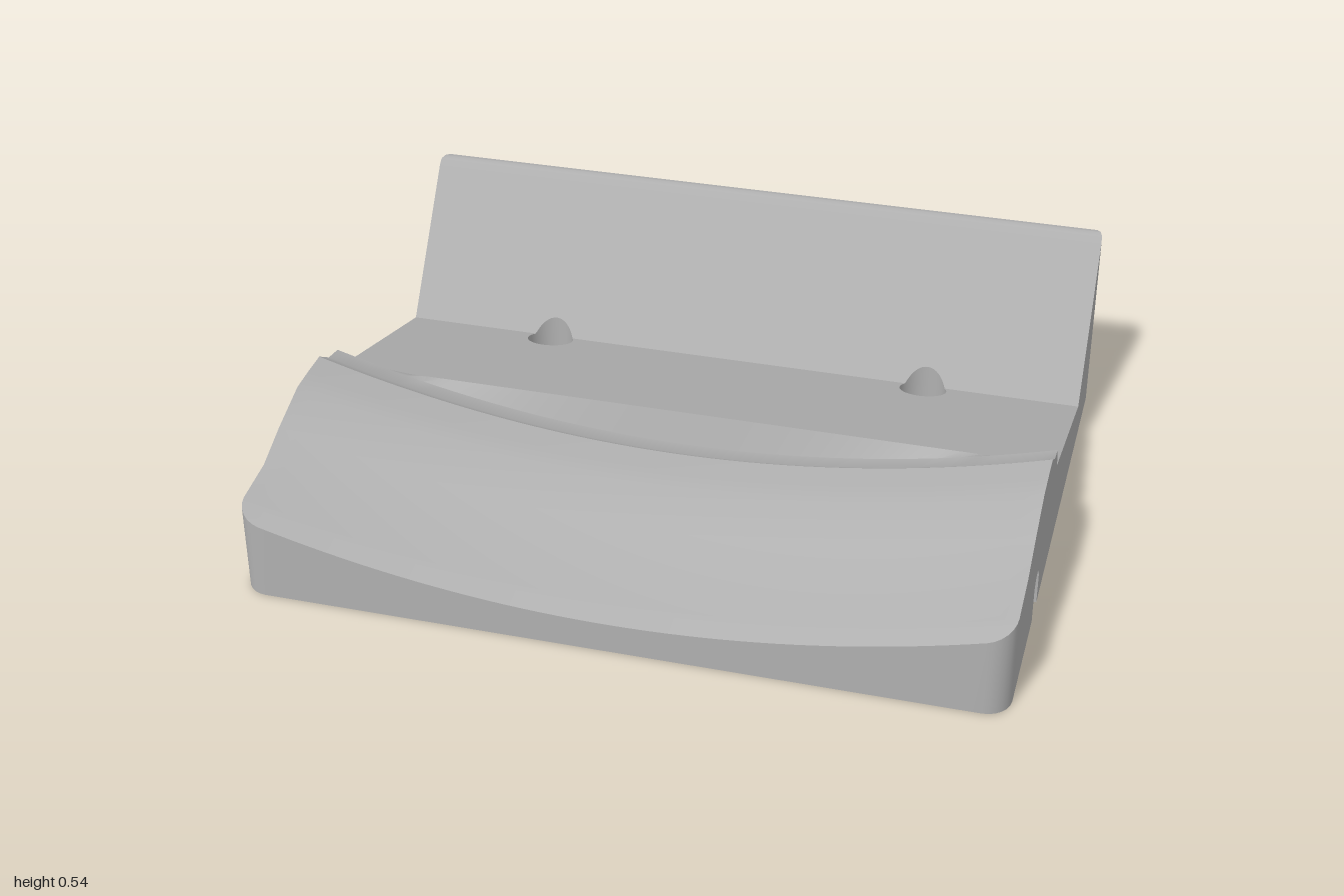
import * as THREE from 'three';
import { toCreasedNormals } from 'three/addons/utils/BufferGeometryUtils.js';

const D = 0.805, R = 0.065, FLAT = D - R;          // half depth, corner radius, straight side end
const LIP = 0.073, VALLEY = -0.47;                 // ramp top and valley lines (z)
const SCREW = { x: 0.56, z: -0.435, r: 0.067, sink: 0.12, depth: 0.06 };
const PIN = { z: 0.36, y: 0.083, r: 0.043, slot: 0.04 };

// side profile as [z, y], front to back
const PROFILE = [
  [D, 0.23], [FLAT, 0.25], [0.61, 0.27], [0.5, 0.32], [0.37, 0.368], [0.3, 0.374], [0.22, 0.378],
  [0.16, 0.342], [0.1, 0.333], [LIP, 0.27], [VALLEY, 0.13], [-FLAT, 0.515],
  [-0.752, 0.53], [-0.77, 0.535], [-0.785, 0.533], [-0.797, 0.525], [-D, 0.51],
];

// height of the upper surface; the front part sags in an arc across x
function height(x, z) {
  let i = 0;
  while (i < PROFILE.length - 2 && z < PROFILE[i + 1][0]) i++;
  const [z0, y0] = PROFILE[i], [z1, y1] = PROFILE[i + 1];
  const y = y0 + (y1 - y0) * (z - z0) / (z1 - z0);
  return y - 0.147 * (1 - x * x) * THREE.MathUtils.clamp((z - LIP) / 0.027, 0, 1);
}

// half width at z, narrowing around the corners
function halfWidth(z) {
  const t = Math.max(0, Math.abs(z) - FLAT);
  return 1 - R + Math.sqrt(Math.max(0, R * R - t * t));
}

// surface through rows of points
function loft(rows, crease = 0.45) {
  const n = rows[0].length, index = [];
  for (let i = 0; i < rows.length - 1; i++) {
    for (let j = 0; j < n - 1; j++) {
      const a = i * n + j, d = a + n;
      index.push(a, a + 1, d + 1, a, d + 1, d);
    }
  }
  const g = new THREE.BufferGeometry();
  g.setAttribute('position', new THREE.Float32BufferAttribute(rows.flat(2), 3));
  g.setIndex(index);
  return toCreasedNormals(g, crease);
}

const arc = (cx, cy, r, a0, a1, n = 24) => Array.from({ length: n + 1 }, (_, i) => {
  const a = a0 + (a1 - a0) * i / n;
  return new THREE.Vector2(cx + r * Math.cos(a), cy + r * Math.sin(a));
});
const circle = (cx, cy, r) => new THREE.Path(arc(cx, cy, r, 0, Math.PI * 2, 32).slice(0, -1));
const V = (x, y) => new THREE.Vector2(x, y);

const cornerSteps = Array.from({ length: 7 }, (_, i) => i / 6 * Math.PI / 2);
const COLS = 40;
const across = Array.from({ length: COLS + 1 }, (_, i) => -1 + 2 * i / COLS);

// plan outline of the rounded end, from x = -1 to x = 1
const endOutline = [
  ...cornerSteps.map(a => [-(1 - R) - R * Math.cos(a), FLAT + R * Math.sin(a)]),
  ...across.slice(1, -1).map(u => [u * (1 - R), D]),
  ...cornerSteps.slice().reverse().map(a => [1 - R + R * Math.cos(a), FLAT + R * Math.sin(a)]),
];

export function createModel() {
  const model = new THREE.Group();
  const grey = new THREE.MeshStandardMaterial({ color: 0xb0b0b0, side: THREE.DoubleSide });
  grey.name = 'plainGrey';
  const add = (name, geometry) => {
    const mesh = new THREE.Mesh(geometry, grey);
    mesh.name = name;
    model.add(mesh);
    return mesh;
  };

  // curved upper surfaces: sagging front rest and rounded back rim
  const cornerZ = cornerSteps.map(a => FLAT + R * Math.sin(a));
  const surface = (lo, hi) => {
    const zs = [...PROFILE.map(p => p[0]), ...cornerZ, ...cornerZ.map(z => -z)]
      .filter(z => z >= lo - 1e-6 && z <= hi + 1e-6).sort((a, b) => b - a)
      .filter((z, i, all) => i === 0 || all[i - 1] - z > 1e-5);
    return loft(zs.map(z => across.map(u => {
      const x = u * halfWidth(z);
      return [x, height(x, z), z];
    })));
  };
  add('curvedFrontRest', surface(LIP, D));
  add('backRim', surface(-D, -FLAT));

  // flat slopes, each notched where the screw holes cross the valley
  const a0 = Math.asin((SCREW.z - VALLEY) / SCREW.r);
  const slope = points => {
    const g = new THREE.ShapeGeometry(new THREE.Shape(points)).rotateX(-Math.PI / 2);
    const p = g.attributes.position;
    for (let i = 0; i < p.count; i++) p.setY(i, height(p.getX(i), p.getZ(i)));
    g.computeVertexNormals();
    return g;
  };
  const notch = (sx, from, to) => arc(sx * SCREW.x, -SCREW.z, SCREW.r, from, to);
  add('ramp', slope([
    V(-1, -LIP), V(1, -LIP), V(1, -VALLEY),
    ...notch(1, a0, -Math.PI - a0), ...notch(-1, a0, -Math.PI - a0), V(-1, -VALLEY),
  ]));
  add('backSlope', slope([
    V(-1, -VALLEY), ...notch(-1, Math.PI - a0, a0), ...notch(1, Math.PI - a0, a0),
    V(1, -VALLEY), V(1, FLAT), V(-1, FLAT),
  ]));

  // front and back walls with their rounded corners
  for (const [name, s] of [['frontWall', 1], ['backWall', -1]]) {
    const pts = endOutline.map(([x, z]) => [x * s, z * s]);
    add(name, loft([
      pts.map(([x, z]) => [x, 0, z]),
      pts.map(([x, z]) => [x, height(x, z), z]),
    ]));
  }

  // side walls: round pin hole on the right, arched slot on the left
  const archAt = c => [V(c + PIN.r, 0), ...arc(c, PIN.y, PIN.r, 0, Math.PI), V(c - PIN.r, 0)];
  for (const [name, s] of [['leftWall', 1], ['rightWall', -1]]) {
    const top = PROFILE.filter(p => Math.abs(p[0]) <= FLAT + 1e-6).map(([z, y]) => V(-s * z, y));
    const c = -s * PIN.z;
    const base = s > 0 ? archAt(c) : [];
    const shape = new THREE.Shape([...top, V(s * FLAT, 0), ...base, V(-s * FLAT, 0)]);
    if (s < 0) shape.holes.push(circle(c, PIN.y, PIN.r));
    add(name, new THREE.ShapeGeometry(shape).rotateY(s * Math.PI / 2).translate(s, 0, 0));
  }

  // slot lining and its end plate
  const inner = 1 - PIN.slot;
  const arch = archAt(PIN.z);
  add('slotLining', loft([arch.map(p => [1, p.y, p.x]), arch.map(p => [inner, p.y, p.x])]));
  const lower = new THREE.Shape([
    V(-PIN.z + PIN.r, 0), ...arc(-PIN.z, PIN.y, PIN.r, 0, -Math.PI), V(-PIN.z - PIN.r, 0),
  ]);
  add('slotEnd', new THREE.ShapeGeometry(lower).rotateY(Math.PI / 2).translate(inner, 0, 0));

  // pin tunnel running from side to side
  add('pinTunnel', new THREE.CylinderGeometry(PIN.r, PIN.r, 1 + inner, 32, 1, true)
    .rotateZ(Math.PI / 2).translate(-PIN.slot / 2, PIN.y, PIN.z));

  // underside with countersink openings and the slot notch
  const under = new THREE.Shape([
    ...endOutline.map(([x, z]) => V(x, z)),
    V(1, PIN.z + PIN.r), V(inner, PIN.z + PIN.r), V(inner, PIN.z - PIN.r), V(1, PIN.z - PIN.r),
    ...endOutline.map(([x, z]) => V(-x, -z)),
  ]);
  for (const s of [-1, 1]) under.holes.push(circle(s * SCREW.x, SCREW.z, SCREW.sink));
  add('underside', new THREE.ShapeGeometry(under).rotateX(Math.PI / 2));

  // screw holes: countersink cone and a bore trimmed to the upper surface
  for (const [side, s] of [['left', 1], ['right', -1]]) {
    add(side + 'Countersink',
      new THREE.CylinderGeometry(SCREW.r, SCREW.sink, SCREW.depth, 32, 1, true)
        .translate(s * SCREW.x, SCREW.depth / 2, SCREW.z));
    const bore = new THREE.CylinderGeometry(SCREW.r, SCREW.r, 1, 48, 1, true)
      .translate(s * SCREW.x, 0, SCREW.z);
    const p = bore.attributes.position;
    for (let i = 0; i < p.count; i++) {
      p.setY(i, p.getY(i) > 0 ? height(p.getX(i), p.getZ(i)) : SCREW.depth);
    }
    add(side + 'ScrewBore', bore);
  }
  return model;
}
